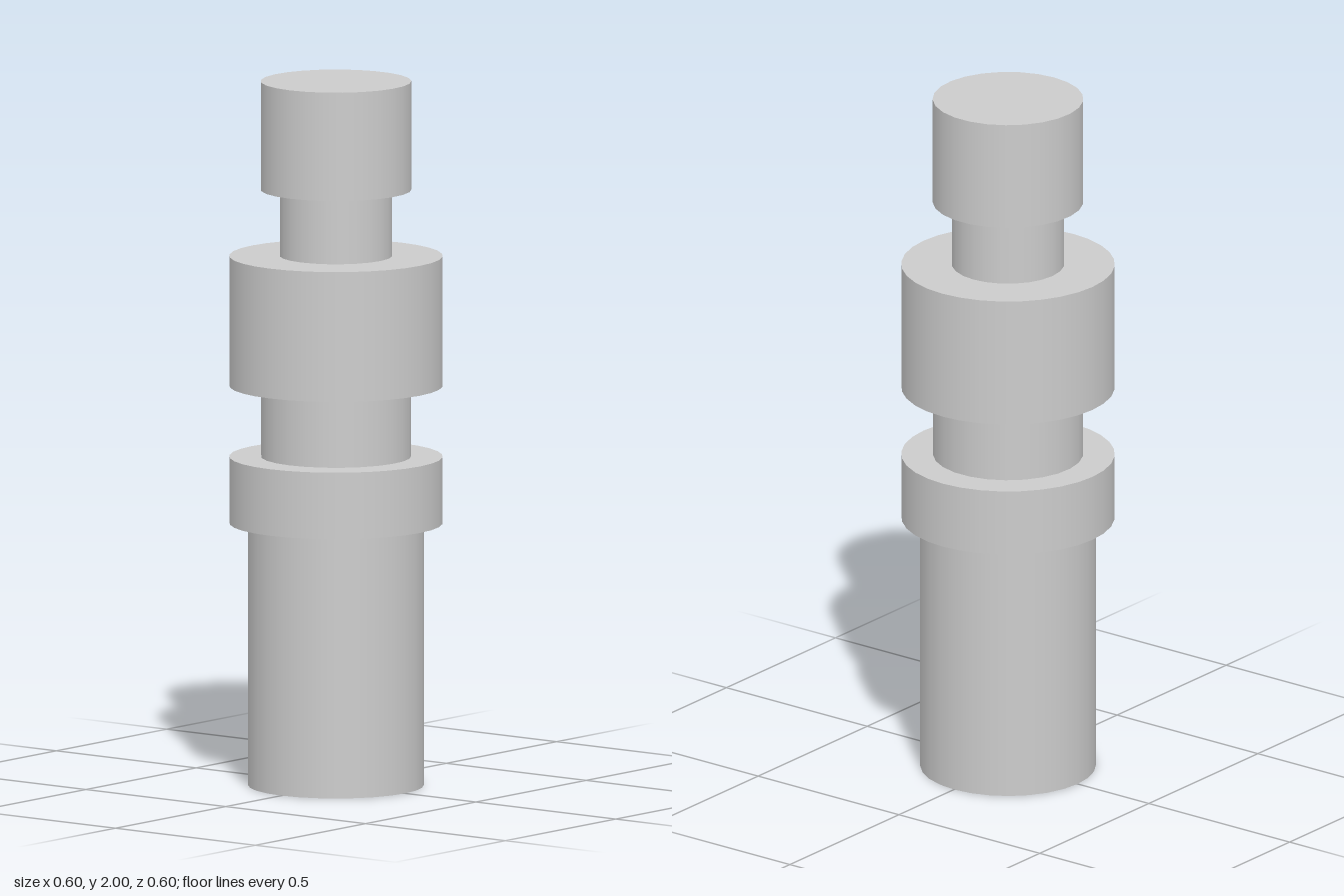
import * as THREE from 'three';

// Stepped shaft: name, radius, bottom, top, sides
const SECTIONS = [
  ['baseShaft', 0.247, 0, 0.745, 28],
  ['lowerCollar', 0.3, 0.745, 0.934, 32],
  ['middleNeck', 0.211, 0.934, 1.135, 25],
  ['upperCollar', 0.3, 1.135, 1.504, 32],
  ['upperNeck', 0.158, 1.504, 1.692, 24],
  ['topCap', 0.212, 1.692, 2, 25],
];

export function createModel() {
  const model = new THREE.Group();
  model.name = 'steppedShaft';
  const material = new THREE.MeshStandardMaterial({ color: 0xcccccc });

  // Each section is a capped smooth cylinder with a corner on -x
  for (const [name, radius, bottom, top, sides] of SECTIONS) {
    const geometry = new THREE.CylinderGeometry(
      radius, radius, top - bottom, sides, 1, false, -Math.PI / 2);
    const mesh = new THREE.Mesh(geometry, material);
    mesh.name = name;
    mesh.position.y = (bottom + top) / 2;
    model.add(mesh);
  }
  return model;
}
